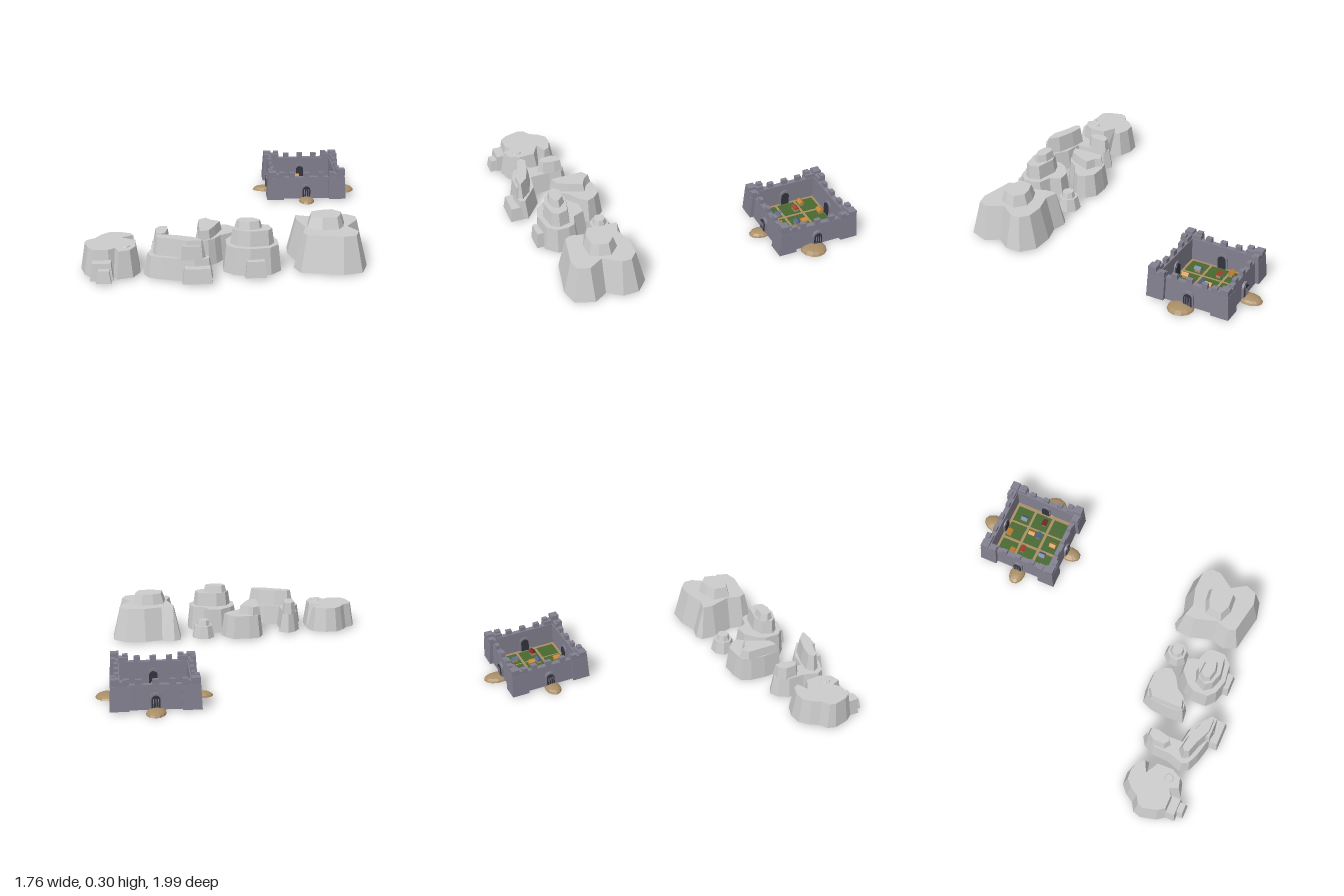
import * as THREE from 'three';

const mat = (color) => new THREE.MeshStandardMaterial({ color, flatShading: true, side: THREE.DoubleSide });
const ROCK = mat(0xcccccc), STONE = mat(0x82808f), DARK = mat(0x34343f), EARTH = mat(0xa98e66), GREEN = mat(0x47682f);

function add(parent, name, geometry, material, x = 0, y = 0, z = 0) {
  const mesh = new THREE.Mesh(geometry, material);
  mesh.name = name;
  mesh.position.set(x, y, z);
  parent.add(mesh);
  return mesh;
}

// Moves every corner of an outline inward by d along its mitred normal
function inset(pts, d) {
  const n = pts.length;
  const normal = (a, b) => new THREE.Vector2(a.y - b.y, b.x - a.x).normalize();
  return pts.map((p, i) => {
    const n1 = normal(pts[(i + n - 1) % n], p), n2 = normal(p, pts[(i + 1) % n]);
    const k = d / Math.max(0.6, 1 + n1.dot(n2));
    return p.clone().addScaledVector(n1.add(n2), k);
  });
}

// One rock terrace: sloping sides from y0 to y1 and a flat top, open below
function terrace(outline, y0, y1, taper) {
  const low = outline.map(([x, z]) => new THREE.Vector2(x, z));
  if (THREE.ShapeUtils.isClockWise(low)) low.reverse();
  const high = inset(low, taper), n = low.length, pos = [], index = [];
  low.forEach((p) => pos.push(p.x, y0, p.y));
  high.forEach((p) => pos.push(p.x, y1, p.y));
  for (let i = 0; i < n; i++) {
    const j = (i + 1) % n;
    index.push(i, n + i, j, j, n + i, n + j);
  }
  for (const [a, b, c] of THREE.ShapeUtils.triangulateShape(high, [])) index.push(n + a, n + c, n + b);
  const g = new THREE.BufferGeometry();
  g.setAttribute('position', new THREE.Float32BufferAttribute(pos, 3));
  g.setIndex(index);
  const flat = g.toNonIndexed();
  flat.computeVertexNormals();
  return flat;
}

function rock(parent, name, tiers) {
  const group = new THREE.Group();
  group.name = name;
  tiers.forEach(([outline, y0, y1, taper], i) => add(group, i ? 'terrace' : 'rockBase', terrace(outline, y0, y1, taper), ROCK));
  parent.add(group);
}

const rect = (x0, x1, z0, z1) => [[x0, z0], [x1, z0], [x1, z1], [x0, z1]];
const ring = (x, z, r) => Array.from({ length: 8 }, (_, i) => {
  const a = (i + 0.5) * Math.PI / 4;
  return [x + r * Math.cos(a), z + r * Math.sin(a)];
});

function addRocks(root) {
  rock(root, 'notchedRock', [
    [[[-0.88, 0.725], [-0.865, 0.675], [-0.815, 0.645], [-0.785, 0.595], [-0.735, 0.55], [-0.66, 0.545], [-0.58, 0.575],
      [-0.545, 0.645], [-0.63, 0.66], [-0.545, 0.685], [-0.54, 0.805], [-0.58, 0.88], [-0.67, 0.905], [-0.69, 0.86],
      [-0.71, 0.875], [-0.815, 0.875], [-0.855, 0.82]], 0.01, 0.168, 0.024],
    [rect(-0.82, -0.69, 0.84, 0.925), 0.01, 0.11, 0.012],
    [rect(-0.785, -0.7, 0.9, 0.965), 0.01, 0.08, 0.012],
    [ring(-0.625, 0.8, 0.03), 0.165, 0.174, 0.004],
  ]);
  rock(root, 'bentRock', [
    [[[-0.52, 0.835], [-0.49, 0.74], [-0.49, 0.635], [-0.455, 0.575], [-0.405, 0.545], [-0.35, 0.58], [-0.36, 0.665],
      [-0.355, 0.77], [-0.26, 0.785], [-0.2, 0.83], [-0.13, 0.885], [-0.14, 0.94], [-0.235, 0.955], [-0.34, 0.935],
      [-0.42, 0.915], [-0.49, 0.885]], 0.01, 0.135, 0.018],
    [[[-0.46, 0.7], [-0.465, 0.62], [-0.43, 0.575], [-0.375, 0.575], [-0.37, 0.63], [-0.385, 0.7], [-0.42, 0.73]], 0.13, 0.207, 0.012],
    [[[-0.47, 0.82], [-0.43, 0.785], [-0.34, 0.8], [-0.23, 0.84], [-0.17, 0.9], [-0.19, 0.925], [-0.28, 0.925],
      [-0.37, 0.885], [-0.45, 0.86]], 0.13, 0.237, 0.015],
    [rect(-0.31, -0.19, 0.89, 0.935), 0.13, 0.21, 0.008],
    [rect(-0.305, -0.135, 0.91, 0.995), 0.01, 0.095, 0.012],
  ]);
  rock(root, 'hookedRock', [
    [[[-0.235, 0.61], [-0.225, 0.515], [-0.2, 0.455], [-0.13, 0.44], [-0.025, 0.44], [0.025, 0.49], [0.05, 0.55],
      [0, 0.605], [-0.065, 0.645], [-0.1, 0.695], [-0.145, 0.725], [-0.225, 0.735]], 0.01, 0.16, 0.018],
    [[[-0.21, 0.5], [-0.155, 0.465], [-0.125, 0.505], [-0.065, 0.535], [-0.105, 0.63], [-0.14, 0.695], [-0.21, 0.715]], 0.155, 0.213, 0.01],
  ]);
  rock(root, 'steppedRock', [
    [[[-0.068, 0.715], [-0.035, 0.66], [0.04, 0.6], [0.135, 0.595], [0.165, 0.665], [0.24, 0.69], [0.26, 0.74],
      [0.26, 0.82], [0.2, 0.88], [0.08, 0.897], [-0.015, 0.87], [-0.068, 0.82]], 0.01, 0.168, 0.016],
    [[[-0.03, 0.78], [0, 0.715], [0.07, 0.69], [0.2, 0.72], [0.222, 0.79], [0.19, 0.835], [0.08, 0.852], [0.005, 0.825]], 0.16, 0.257, 0.012],
    [[[-0.005, 0.755], [0.03, 0.715], [0.11, 0.72], [0.155, 0.765], [0.14, 0.8], [0.08, 0.815], [0.015, 0.8]], 0.25, 0.302, 0.012],
    [rect(0.05, 0.17, 0.85, 0.925), 0.01, 0.105, 0.01],
  ]);
  rock(root, 'smallRock', [[ring(0.172, 0.527, 0.077), 0.01, 0.09, 0.016], [ring(0.172, 0.527, 0.046), 0.085, 0.125, 0.01]]);
  rock(root, 'largeRock', [
    [[[0.325, 0.46], [0.37, 0.435], [0.45, 0.46], [0.56, 0.43], [0.69, 0.435], [0.77, 0.505], [0.77, 0.6], [0.71, 0.685],
      [0.76, 0.765], [0.72, 0.88], [0.61, 0.905], [0.48, 0.88], [0.37, 0.86], [0.335, 0.78], [0.36, 0.69], [0.32, 0.56]], 0.01, 0.222, 0.048],
    [[[0.415, 0.71], [0.43, 0.6], [0.5, 0.57], [0.58, 0.56], [0.645, 0.62], [0.63, 0.69], [0.6, 0.74], [0.5, 0.745]], 0.215, 0.29, 0.022],
  ]);
}

// Arched slab, w wide and h tall, facing +z
function arch(w, h, depth) {
  const s = new THREE.Shape(), r = w / 2;
  s.moveTo(-r, 0).lineTo(r, 0).lineTo(r, h - r).absarc(0, h - r, r, 0, Math.PI, false).lineTo(-r, 0);
  return new THREE.ExtrudeGeometry(s, { depth, bevelEnabled: false, curveSegments: 8 });
}

function addHouse(parent, x, z, color, turned) {
  const house = new THREE.Group();
  house.name = 'house';
  house.position.set(x, 0.012, z);
  if (turned) house.rotation.y = Math.PI / 2;
  add(house, 'houseWalls', new THREE.BoxGeometry(0.038, 0.026, 0.026), EARTH, 0, 0.013, 0);
  const gable = new THREE.Shape([[-0.018, 0], [0.018, 0], [0, 0.016]].map(([a, b]) => new THREE.Vector2(a, b)));
  const roof = new THREE.ExtrudeGeometry(gable, { depth: 0.044, bevelEnabled: false });
  roof.translate(0, 0, -0.022).rotateY(Math.PI / 2);
  add(house, 'roof', roof, mat(color), 0, 0.025, 0);
  parent.add(house);
}

function addFort(root) {
  const fort = new THREE.Group();
  fort.name = 'fort';
  fort.position.set(0.54, 0, -0.645);
  root.add(fort);

  // Wall ring with projecting corners, leaning slightly inward
  const O = 0.26, W = 0.238, C = 0.15, I = 0.2, H = 0.155;
  const outer = [];
  for (let k = 0; k < 4; k++) {
    for (const [x, y] of [[O, -C], [W, -C], [W, C], [O, C], [O, O], [C, O], [C, W]].slice(1, 5)) {
      const p = new THREE.Vector2(x, y).rotateAround(new THREE.Vector2(), k * Math.PI / 2);
      outer.push(p);
    }
    outer.push(new THREE.Vector2(C, O).rotateAround(new THREE.Vector2(), k * Math.PI / 2));
  }
  const shape = new THREE.Shape(outer);
  shape.holes.push(new THREE.Path([[-I, -I], [-I, I], [I, I], [I, -I]].map(([a, b]) => new THREE.Vector2(a, b))));
  const wall = new THREE.ExtrudeGeometry(shape, { depth: H - 0.01, bevelEnabled: false }).rotateX(-Math.PI / 2);
  const p = wall.attributes.position;
  for (let i = 0; i < p.count; i++) {
    const x = p.getX(i), z = p.getZ(i);
    if (Math.max(Math.abs(x), Math.abs(z)) > I + 0.01) {
      const s = 1 - 0.03 * p.getY(i) / H;
      p.setX(i, x * s);
      p.setZ(i, z * s);
    }
  }
  add(fort, 'walls', wall, STONE, 0, 0.01, 0);

  // Each side: battlements, corner blocks, gate and earth ramp
  for (let k = 0; k < 4; k++) {
    const side = new THREE.Group();
    side.name = 'fortSide';
    side.rotation.y = k * Math.PI / 2;
    fort.add(side);
    for (const x of [-0.095, 0, 0.095]) add(side, 'merlon', new THREE.BoxGeometry(0.036, 0.032, 0.024), STONE, x, H + 0.014, 0.219);
    for (const s of [-1, 1]) {
      add(side, 'cornerParapet', new THREE.BoxGeometry(0.104, 0.025, 0.046), STONE, s * 0.199, H + 0.012, 0.228);
      add(side, 'cornerMerlon', new THREE.BoxGeometry(0.034, 0.016, 0.03), STONE, s * 0.165, H + 0.03, 0.236);
    }
    add(side, 'cornerPost', new THREE.BoxGeometry(0.05, k === 0 ? 0.055 : 0.04, 0.05), STONE, 0.226, H + (k === 0 ? 0.0275 : 0.02), 0.226);
    add(side, 'gateFrame', arch(0.07, 0.1, 0.055), STONE, 0, 0.01, 0.192);
    add(side, 'gate', arch(0.05, 0.086, 0.065), DARK, 0, 0.01, 0.187);
    const bars = 3;
    for (let b = 0; b < bars; b++) add(side, 'gateBar', new THREE.BoxGeometry(0.004, 0.066, 0.004), STONE, (b - 1) * 0.014, 0.045, 0.253);
  }
  // Earth ramps: x, z, half width, half depth, turn
  for (const [x, z, rx, rz, turn] of [[0, 0.262, 0.05, 0.073, 0], [0, -0.272, 0.058, 0.083, -0.15], [-0.265, 0.005, 0.075, 0.05, 0], [0.262, 0.035, 0.08, 0.08, 0.5]]) {
    const g = new THREE.SphereGeometry(1, 12, 4, 0, Math.PI * 2, 0, Math.PI / 2);
    const ramp = add(fort, 'ramp', g, EARTH, x, 0, z);
    ramp.scale.set(rx, 0.028, rz);
    ramp.rotation.y = turn;
  }

  // Courtyard floor, lawns and houses
  add(fort, 'courtyard', new THREE.BoxGeometry(0.41, 0.004, 0.41), EARTH, 0, 0.012, 0);
  for (const x of [-0.127, 0, 0.122]) {
    for (const z of [-0.128, 0, 0.128]) add(fort, 'lawn', new THREE.BoxGeometry(0.108, 0.01, 0.11), GREEN, x, 0.012, z);
  }
  const ORANGE = 0xc8862e, BLUE = 0x52688f, RED = 0xa8452c;
  for (const [x, z, color, turned] of [[-0.145, -0.087, ORANGE], [-0.028, -0.16, ORANGE], [0.1, -0.11, BLUE, true],
    [-0.103, -0.028, RED], [0.025, -0.022, ORANGE, true], [0.025, 0.025, BLUE], [0.125, 0.024, 0x7a2a2a],
    [-0.093, 0.104, BLUE, true], [-0.002, 0.14, ORANGE, true]]) addHouse(fort, x, z, color, turned);
}

export function createModel() {
  const root = new THREE.Group();
  root.name = 'fortAndRocks';
  addRocks(root);
  addFort(root);
  return root;
}
